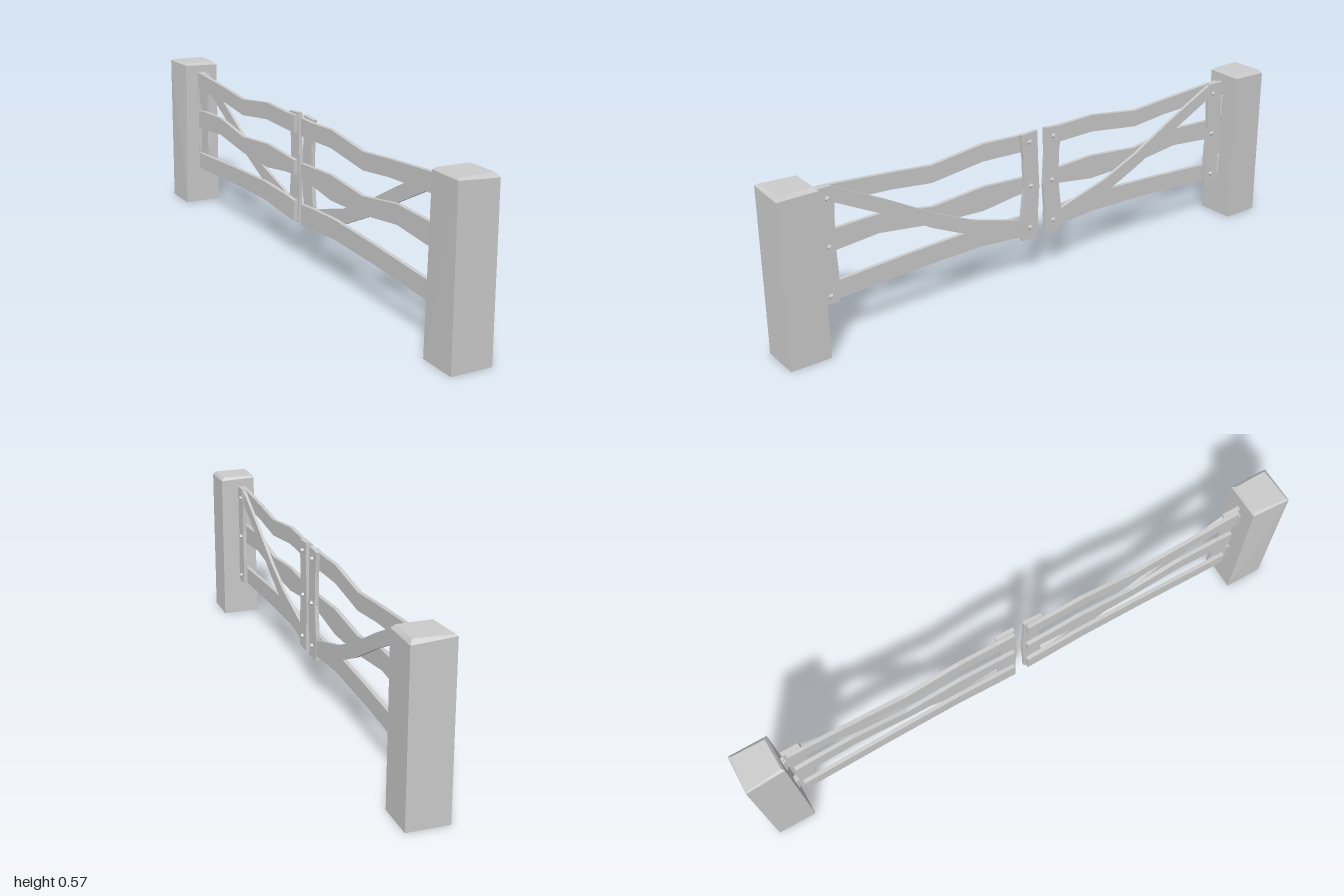
import * as THREE from 'three';
import { ConvexGeometry } from 'three/addons/geometries/ConvexGeometry.js';

const grey = new THREE.MeshStandardMaterial({ color: 0xcccccc, flatShading: true });

function part(group, name, geometry) {
  const mesh = new THREE.Mesh(geometry, grey);
  mesh.name = name;
  group.add(mesh);
  return mesh;
}

// Plank outlined in the z-y plane, spanning x0 to x1; s = 1 or -1 picks the gate half
function plank(outline, x0, x1, s) {
  const shape = new THREE.Shape(outline.map(([z, y]) => new THREE.Vector2(-z * s, y)));
  const geometry = new THREE.ExtrudeGeometry(shape, { depth: x1 - x0, bevelEnabled: false });
  return geometry.rotateY(Math.PI / 2).translate(x0, 0, 0);
}

// Outline of a wavy board from [z, top, bottom] stations
const wavy = (stations) => [
  ...stations.map(([z, top]) => [z, top]),
  ...stations.map(([z, , bottom]) => [z, bottom]).reverse(),
];

const rails = {
  topRail: [[0.84, 0.533, 0.47], [0.78, 0.531, 0.47], [0.58, 0.517, 0.461], [0.43, 0.504, 0.445],
    [0.23, 0.53, 0.47], [0.09, 0.525, 0.466], [0.025, 0.527, 0.466]],
  middleRail: [[0.84, 0.38, 0.31], [0.78, 0.386, 0.314], [0.63, 0.391, 0.327], [0.43, 0.362, 0.302],
    [0.23, 0.38, 0.295], [0.09, 0.373, 0.314], [0.025, 0.37, 0.318]],
  bottomRail: [[0.84, 0.207, 0.147], [0.78, 0.21, 0.147], [0.5, 0.226, 0.162], [0.25, 0.236, 0.168],
    [0.09, 0.23, 0.155], [0.025, 0.225, 0.152]],
};
const brace = [[0.785, 0.528], [0.6, 0.436], [0.43, 0.343], [0.284, 0.279], [0.085, 0.222],
  [0.085, 0.161], [0.25, 0.209], [0.44, 0.295], [0.6, 0.384], [0.785, 0.477]];
const outerUpright = [[0.852, 0.533], [0.79, 0.533], [0.783, 0.48], [0.79, 0.36], [0.785, 0.24],
  [0.788, 0.145], [0.852, 0.145], [0.848, 0.24], [0.844, 0.36], [0.848, 0.45]];
const innerUpright = [[0.085, 0.53], [0.018, 0.535], [0.016, 0.44], [0.01, 0.33], [0.016, 0.24],
  [0.018, 0.145], [0.083, 0.145], [0.085, 0.23], [0.072, 0.34], [0.075, 0.44]];

// Leaning square post with a chipped, slightly sloping top
function post(s) {
  const points = [];
  const add = (x, y, z) => points.push(new THREE.Vector3(x, y, z * s));
  for (const [x, z] of [[-0.07, 1], [0.07, 1], [0.07, 0.862], [-0.07, 0.862]]) add(x, 0, z);
  for (const [x, y, z] of [[-0.068, 0.562, 0.998], [0.07, 0.553, 0.998], [0.07, 0.555, 0.863], [-0.06, 0.56, 0.863]])
    add(x, y, z);
  for (const [x, z] of [[-0.062, 0.99], [0.06, 0.985], [0.058, 0.873], [-0.052, 0.87]]) add(x, 0.567, z);
  return new ConvexGeometry(points);
}

// Hinge: a plate on the post, a plate on the gate and a barrel between
function hinge(s, y) {
  const group = new THREE.Group();
  group.name = 'hinge';
  part(group, 'postPlate', new THREE.BoxGeometry(0.022, 0.075, 0.008)).position.set(0, y, 0.861 * s);
  part(group, 'gatePlate', new THREE.BoxGeometry(0.012, 0.06, 0.012)).position.set(0, y, 0.851 * s);
  part(group, 'barrel', new THREE.CylinderGeometry(0.006, 0.006, 0.068, 8)).position.set(0.008, y, 0.855 * s);
  return group;
}

function gateHalf(s) {
  const group = new THREE.Group();
  group.name = s > 0 ? 'frontGateHalf' : 'backGateHalf';
  part(group, 'post', post(s));
  for (const [name, stations] of Object.entries(rails)) part(group, name, plank(wavy(stations), -0.02, -0.006, s));
  part(group, 'brace', plank(brace, -0.006, 0.005, s));
  part(group, 'outerUpright', plank(outerUpright, -0.006, 0.008, s));
  part(group, 'innerUpright', plank(innerUpright, -0.006, 0.008, s));
  // Bolt heads where rails meet uprights
  for (const [z, y] of [[0.806, 0.495], [0.81, 0.337], [0.817, 0.172], [0.05, 0.5], [0.045, 0.342], [0.05, 0.19]]) {
    const bolt = part(group, 'bolt', new THREE.CylinderGeometry(0.006, 0.009, 0.009, 6).rotateZ(-Math.PI / 2));
    bolt.position.set(0.012, y, z * s);
  }
  for (const y of [0.438, 0.203]) group.add(hinge(s, y));
  return group;
}

export function createModel() {
  const model = new THREE.Group();
  model.name = 'doubleFieldGate';
  for (const s of [1, -1]) model.add(gateHalf(s));
  return model;
}
